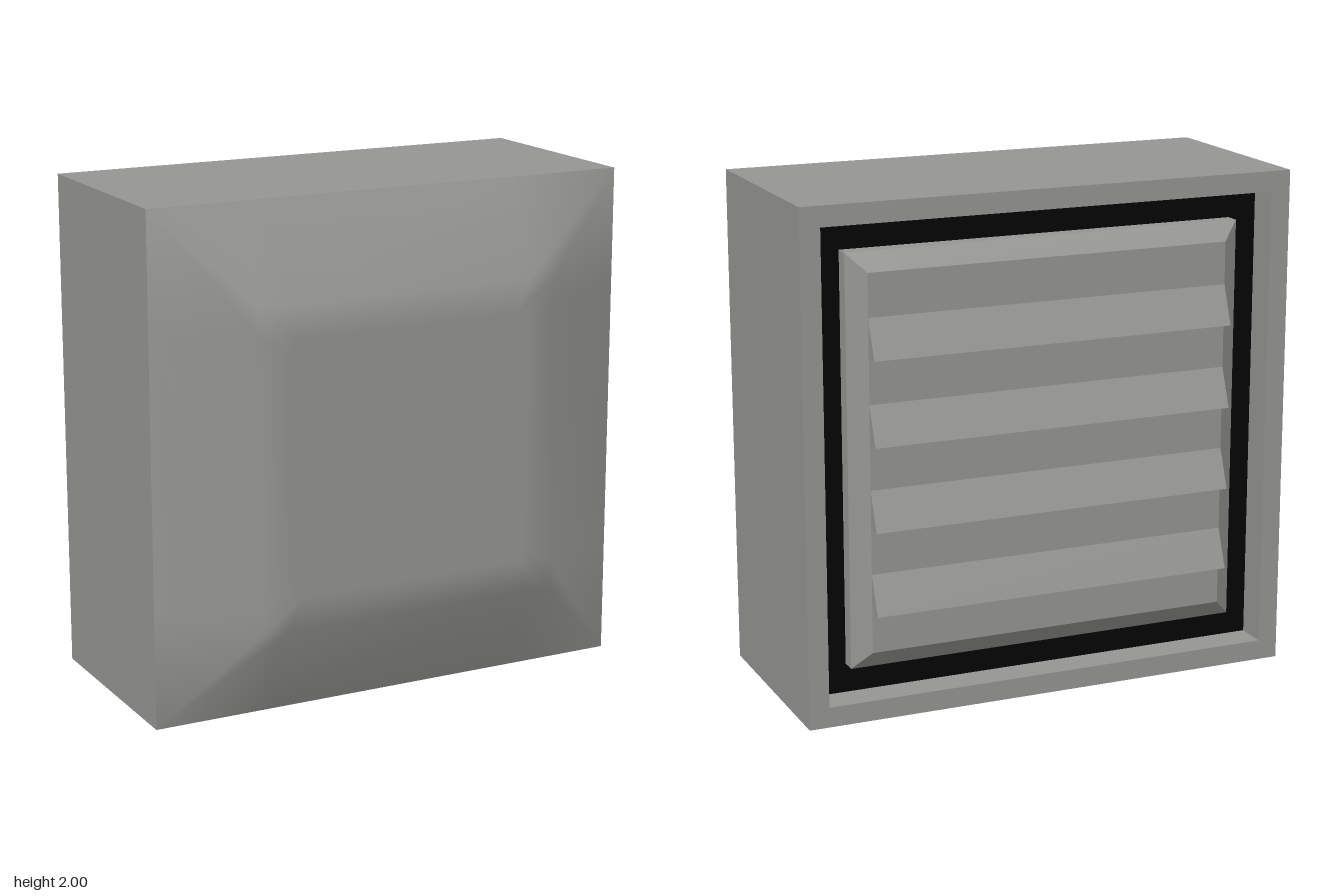
import * as THREE from 'three';

const grey = new THREE.MeshStandardMaterial({ color: 0x959593 });
const dark = new THREE.MeshStandardMaterial({ color: 0x040404 });
const MID = 1; // height of the centre

function add(group, name, geometry, material = grey) {
  const mesh = new THREE.Mesh(geometry, material);
  mesh.name = name;
  group.add(mesh);
  return mesh;
}

// Rectangle outline, as a Shape or as a hole Path
function rect(Type, halfW, y0, y1) {
  return new Type([[-halfW, y0], [halfW, y0], [halfW, y1], [-halfW, y1]]
    .map(([x, y]) => new THREE.Vector2(x, y)));
}

function extrude(shape, depth) {
  return new THREE.ExtrudeGeometry(shape, { depth, bevelEnabled: false });
}

// Section drawn in (z, y), run along x from right to left and centred
function extrudeAlongX(points, width) {
  const shape = new THREE.Shape(points.map(([z, y]) => new THREE.Vector2(z, y)));
  return extrude(shape, width).rotateY(-Math.PI / 2).translate(width / 2, 0, 0);
}

// Loft through square rings [half size, z, k] towards +z, optionally capped.
// Each side has two extra points, at the ratio k of its half size.
function squareLoft(rings, capped) {
  const n = 12, pos = [], index = [];
  for (const [h, z, k] of rings) {
    for (let side = 0; side < 4; side++) {
      const c = Math.round(Math.cos(side * Math.PI / 2)) * h;
      const s = Math.round(Math.sin(side * Math.PI / 2)) * h;
      for (const t of [1, k, -k]) pos.push(t * c - s, t * s + c, z);
    }
  }
  for (let r = 0; r < rings.length - 1; r++) {
    for (let i = 0; i < n; i++) {
      const j = (i + 1) % n, a = r * n + i, b = r * n + j;
      index.push(a, b, b + n, a, b + n, a + n);
    }
  }
  if (capped) {
    const last = (rings.length - 1) * n, centre = pos.length / 3;
    pos.push(0, 0, rings[rings.length - 1][1]);
    for (let i = 0; i < n; i++) index.push(centre, last + i, last + (i + 1) % n);
  }
  const g = new THREE.BufferGeometry();
  g.setAttribute('position', new THREE.Float32BufferAttribute(pos, 3));
  g.setIndex(index);
  g.computeVertexNormals();
  return g;
}

export function createModel() {
  const model = new THREE.Group();
  model.name = 'ventHousing';

  // Square housing, open at the back
  const shell = rect(THREE.Shape, 1, 0, 2);
  shell.holes.push(rect(THREE.Path, 0.92, 0.08, 1.92));
  add(model, 'housing', extrude(shell, 0.87).translate(0, 0, -0.5));

  // Softly shaded front cover with sloping borders
  const cover = squareLoft([[1, 0.37, 0.55], [0.63, 0.538, 0.83], [0.5, 0.538, 0.92]], true);
  add(model, 'frontCover', cover.translate(0, MID, 0));

  // Dark recess behind the louvre panel
  add(model, 'recessFloor',
    new THREE.PlaneGeometry(1.84, 1.84).rotateY(Math.PI).translate(0, MID, -0.37), dark);

  // Louvre panel: bevelled rim, slotted face and hooded slats
  const panel = new THREE.Group();
  panel.name = 'louvrePanel';
  model.add(panel);

  const rim = squareLoft([[0.806, 0.37, 0.8], [0.806, 0.43, 0.8], [0.735, 0.48, 0.8]], false)
    .rotateY(Math.PI).translate(0, MID, 0).toNonIndexed();
  rim.computeVertexNormals();
  add(panel, 'panelRim', rim);

  const face = rect(THREE.Shape, 0.735, MID - 0.735, MID + 0.735);
  const slatBottoms = [0.425, 0.755, 1.085, 1.415];
  for (const y of slatBottoms) face.holes.push(rect(THREE.Path, 0.715, y, y + 0.12));
  add(panel, 'panelFace', extrude(face, 0.02).translate(0, 0, -0.48));

  // Each slat is a sloping plate, open underneath, with a triangular end at each side
  const plate = extrudeAlongX([[-0.538, 0], [-0.515, 0], [-0.48, 0.092], [-0.48, 0.152]], 1.47);
  const end = extrudeAlongX([[-0.538, 0], [-0.48, 0], [-0.48, 0.152]], 0.01);
  for (const y of slatBottoms) {
    const slat = new THREE.Group();
    slat.name = 'louvreSlat';
    slat.position.y = y;
    add(slat, 'slatPlate', plate);
    for (const side of [-1, 1]) add(slat, 'slatEnd', end).position.x = side * 0.73;
    panel.add(slat);
  }

  return model;
}
